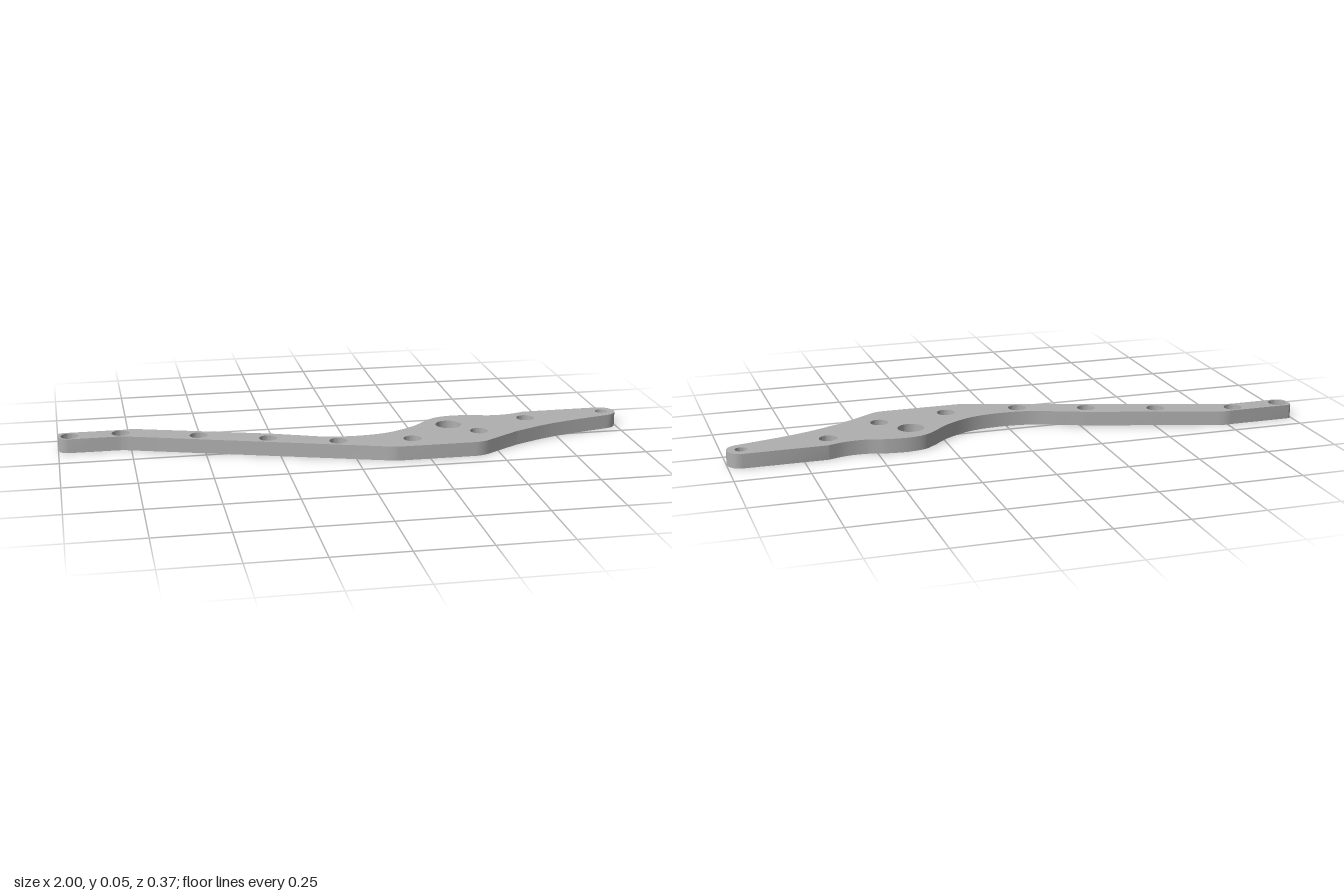
import * as THREE from 'three';
import { toCreasedNormals } from 'three/addons/utils/BufferGeometryUtils.js';

// All contours are drawn in plan as (x, z).
const TOP = 0.05, BORE_FLOOR = 0.03, POCKET_FLOOR = 0.026;

function circle(x, z, r) {
  return new THREE.Path().absarc(x, z, r, 0, Math.PI * 2).getPoints(16).slice(0, -1);
}

// Closed polygon with softened corners
function rounded(corners, r) {
  const path = new THREE.Path();
  const pts = corners.map(([x, z]) => new THREE.Vector2(x, z));
  pts.forEach((p, i) => {
    const prev = pts[(i + pts.length - 1) % pts.length], next = pts[(i + 1) % pts.length];
    const toward = q => p.clone().add(q.clone().sub(p).setLength(Math.min(r, q.distanceTo(p) * 0.45)));
    const a = toward(prev), b = toward(next);
    if (i === 0) path.moveTo(a.x, a.y); else path.lineTo(a.x, a.y);
    path.quadraticCurveTo(p.x, p.y, b.x, b.y);
  });
  return path.getPoints(5);
}

// Horizontal face with holes, looking up or down
function face(outer, holes, y, up) {
  const shape = new THREE.Shape(outer);
  shape.holes = holes.map(h => new THREE.Path(h));
  const g = new THREE.ShapeGeometry(shape).rotateX(Math.PI / 2).translate(0, y, 0);
  if (up) {
    const ix = g.index.array;
    for (let i = 0; i < ix.length; i += 3) [ix[i], ix[i + 1]] = [ix[i + 1], ix[i]];
  }
  g.computeVertexNormals();
  return g;
}

// Upright wall along a contour, facing outward or into a hole
function wall(contour, y0, y1, outward) {
  const pts = contour.slice();
  if (pts[0].distanceTo(pts[pts.length - 1]) < 1e-5) pts.pop();
  if (THREE.ShapeUtils.isClockWise(pts) === outward) pts.reverse();
  const v = [];
  pts.forEach((a, i) => {
    const b = pts[(i + 1) % pts.length];
    v.push(a.x, y0, a.y, a.x, y1, a.y, b.x, y0, b.y);
    v.push(b.x, y0, b.y, a.x, y1, a.y, b.x, y1, b.y);
  });
  const g = new THREE.BufferGeometry();
  g.setAttribute('position', new THREE.Float32BufferAttribute(v, 3));
  return toCreasedNormals(g, 0.5);
}

function plateOutline() {
  const s = new THREE.Shape();
  const spline = list => s.splineThru(list.map(([x, z]) => new THREE.Vector2(x, z)));
  s.moveTo(-0.98, -0.184);
  s.lineTo(-0.77, -0.184);
  s.quadraticCurveTo(-0.745, -0.19, -0.715, -0.18);
  s.lineTo(-0.27, -0.043);
  // waist, hump around the large hole, and dip
  spline([[-0.18, -0.008], [-0.08, 0.028], [0.03, 0.037], [0.136, 0.02], [0.235, -0.034],
    [0.295, -0.09], [0.34, -0.122], [0.4, -0.133], [0.47, -0.127], [0.537, -0.111],
    [0.607, -0.113], [0.67, -0.132]]);
  s.lineTo(0.95, -0.133);
  s.absarc(0.95, -0.084, 0.049, -Math.PI / 2, Math.PI * 0.41, false);
  spline([[0.81, 0.001], [0.7, 0.036], [0.58, 0.09]]);
  s.lineTo(0.46, 0.168);
  s.quadraticCurveTo(0.435, 0.184, 0.405, 0.184);
  s.lineTo(0.14, 0.184);
  s.quadraticCurveTo(0.12, 0.184, 0.09, 0.171);
  s.lineTo(-0.755, -0.1);
  s.quadraticCurveTo(-0.778, -0.108, -0.8, -0.108);
  s.lineTo(-0.965, -0.108);
  s.quadraticCurveTo(-1, -0.112, -1, -0.145);
  s.lineTo(-1, -0.162);
  s.quadraticCurveTo(-1, -0.184, -0.98, -0.184);
  return s.getPoints(6).filter((p, i, all) => i === 0 || p.distanceTo(all[i - 1]) > 1e-5);
}

export function createModel() {
  const group = new THREE.Group();
  group.name = 'linkPlate';
  const metal = new THREE.MeshStandardMaterial({ color: 0xb0b0b0 });
  metal.name = 'grey';
  const add = (name, geometry) => {
    const mesh = new THREE.Mesh(geometry, metal);
    mesh.name = name;
    group.add(mesh);
  };

  const outline = plateOutline();

  // Plain through holes
  const through = [circle(0.364, -0.032, 0.045), circle(0.95, -0.085, 0.021)];

  // Stepped screw holes
  const screws = [[-0.96, -0.145], [-0.784, -0.147], [-0.519, -0.072], [-0.286, 0.005],
    [-0.053, 0.08], [0.203, 0.102], [0.452, 0.06], [0.655, -0.058]];
  const bores = screws.map(([x, z]) => circle(x, z, 0.031));
  const shanks = screws.map(([x, z]) => circle(x, z, 0.016));

  // Lightening pockets in the underside: round ones along the arm
  const pockets = [[0.122, 0.096], [0.031, 0.094], [-0.132, 0.051], [-0.207, 0.026],
    [-0.365, -0.025], [-0.443, -0.047], [-0.601, -0.098], [-0.676, -0.124]]
    .map(([x, z]) => circle(x, z, 0.028));

  // Narrow slots beside the arm's screw holes
  const along = new THREE.Vector2(0.952, 0.307), across = new THREE.Vector2(-0.307, 0.952);
  for (const [x, z] of screws.slice(2, 5)) {
    for (const side of [-1, 1]) {
      const corner = (l, w) => [
        x + along.x * l + across.x * (side * 0.028 + w),
        z + along.y * l + across.y * (side * 0.028 + w)];
      pockets.push(rounded([corner(-0.04, -0.005), corner(0.04, -0.005),
        corner(0.04, 0.005), corner(-0.04, 0.005)], 0.004));
    }
  }

  // Truss pockets in the wide end
  pockets.push(
    rounded([[0.9, -0.078], [0.7, -0.1], [0.7, -0.005]], 0.015),
    rounded([[0.66, 0.005], [0.61, -0.035], [0.51, 0.005], [0.497, 0.1]], 0.015),
    rounded([[0.425, 0.105], [0.255, 0.075], [0.24, 0.155], [0.4, 0.155]], 0.015),
    rounded([[0.56, -0.078], [0.5, -0.025], [0.4, 0.045], [0.24, 0.05], [0.26, 0.0],
      [0.3, 0.005], [0.364, 0.029], [0.41, 0.01], [0.428, -0.03], [0.44, -0.08]], 0.015));

  add('topFace', face(outline, [...through, ...bores], TOP, true));
  add('bottomFace', face(outline, [...through, ...shanks, ...pockets], 0, false));
  add('outerEdge', wall(outline, 0, TOP, true));
  through.forEach(h => add('throughHole', wall(h, 0, TOP, false)));
  screws.forEach((_, i) => {
    add('screwHeadRecess', wall(bores[i], BORE_FLOOR, TOP, false));
    add('screwSeat', face(bores[i], [shanks[i]], BORE_FLOOR, true));
    add('screwHole', wall(shanks[i], 0, BORE_FLOOR, false));
  });
  pockets.forEach(p => {
    add('pocketWall', wall(p, 0, POCKET_FLOOR, false));
    add('pocketFloor', face(p, [], POCKET_FLOOR, false));
  });
  return group;
}
